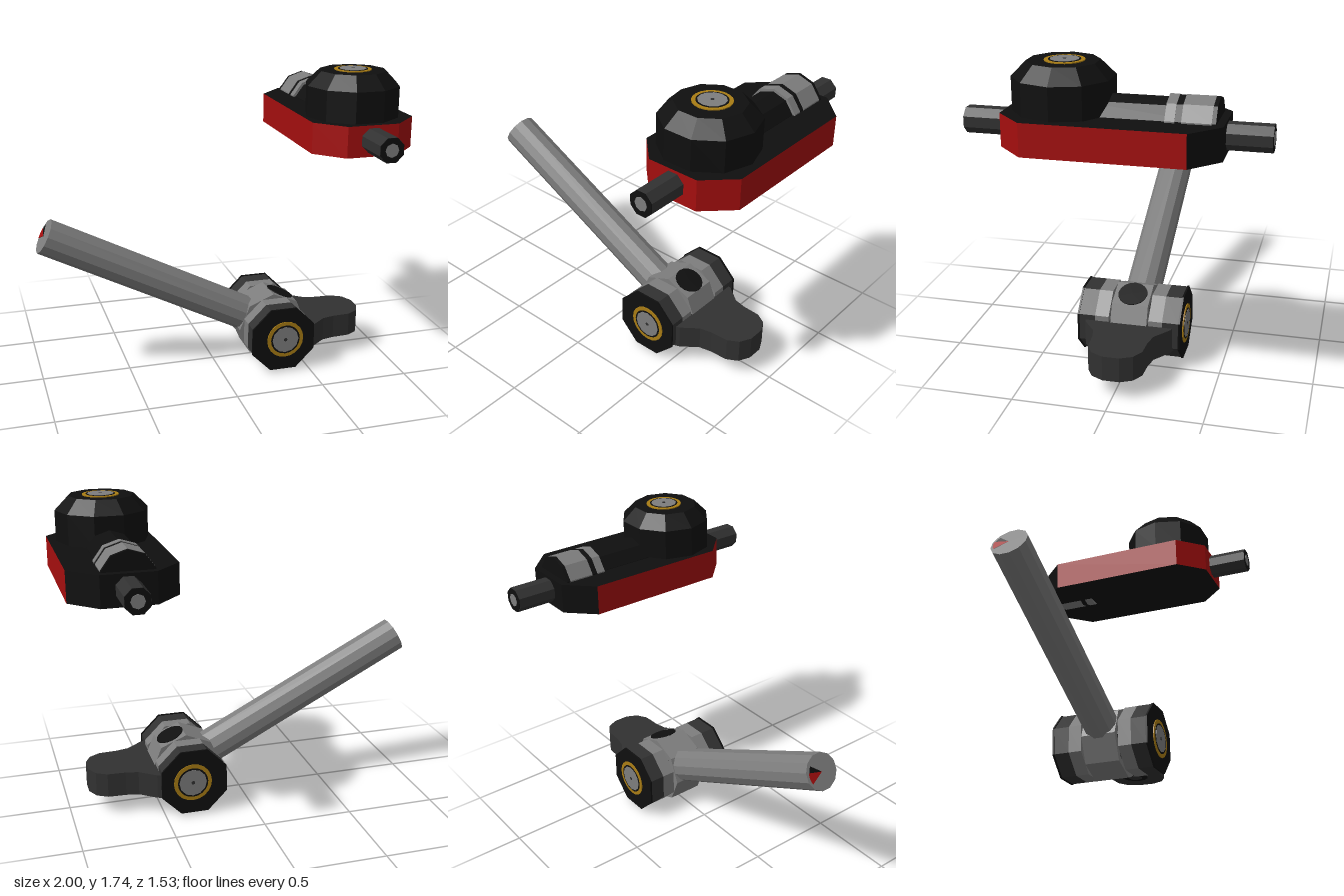
import * as THREE from 'three';

const mat = (name, color) => {
  const m = new THREE.MeshStandardMaterial({ color, flatShading: true });
  m.name = name;
  return m;
};

export function createModel() {
  const black = mat('black', 0x0f0f0f);
  const dark = mat('darkGrey', 0x313131);
  const grey = mat('grey', 0x7d7d7d);
  const red = mat('red', 0xa40e0e);
  const gold = mat('gold', 0xa87c14);
  const root = new THREE.Group();
  const X = new THREE.Vector3(1, 0, 0), Y = new THREE.Vector3(0, 1, 0), Z = new THREE.Vector3(0, 0, 1);

  const add = (parent, name, geo, material) => {
    const mesh = new THREE.Mesh(geo, material);
    mesh.name = name;
    parent.add(mesh);
    return mesh;
  };
  const group = (name) => {
    const g = new THREE.Group();
    g.name = name;
    root.add(g);
    return g;
  };
  // prism centred at pos with its axis along dir
  const prism = (parent, name, material, pos, dir, r, len, sides = 8, phase = 0, rTop = r) => {
    const geo = new THREE.CylinderGeometry(rTop, r, len, sides).rotateY(phase);
    const mesh = add(parent, name, geo, material);
    mesh.quaternion.setFromUnitVectors(Y, dir);
    mesh.position.set(...pos);
    return mesh;
  };
  // outline given as [x, z], raised from y0 to y1
  const slab = (parent, name, points, y0, y1, material) => {
    const shape = new THREE.Shape(points.map(([x, z]) => new THREE.Vector2(x, -z)));
    const geo = new THREE.ExtrudeGeometry(shape, { depth: y1 - y0, bevelEnabled: false });
    geo.rotateX(-Math.PI / 2).translate(0, y0, 0);
    return add(parent, name, geo, material);
  };
  // gold ring with a grey button and a dark centre
  const button = (parent, pos, dir, r) => {
    const at = (d) => new THREE.Vector3(...pos).addScaledVector(dir, d).toArray();
    prism(parent, 'goldRing', gold, at(0.002), dir, r, 0.006, 20);
    prism(parent, 'ringGap', black, at(0.003), dir, r * 0.8, 0.007, 20);
    prism(parent, 'buttonFace', grey, at(0.004), dir, r * 0.72, 0.008, 12);
    prism(parent, 'buttonDot', dark, at(0.005), dir, r * 0.1, 0.008, 8);
  };

  // ---- upper housing ----
  const housing = group('housing');
  const cx = 0.714;
  slab(housing, 'housingBody', [[0.43, -0.4], [0.43, 0.4], [0.57, 0.543], [0.855, 0.543], [1, 0.4], [1, -0.4]],
    1.32, 1.488, [black, red]);
  slab(housing, 'housingBackEnd', [[0.43, -0.4], [1, -0.4], [0.855, -0.543], [0.57, -0.543]],
    1.32, 1.488, black);

  // domed drum
  const dome = new THREE.LatheGeometry(
    [[0.255, 1.48], [0.255, 1.655], [0.18, 1.73], [0, 1.73]].map((p) => new THREE.Vector2(...p)), 10);
  dome.rotateY(Math.PI / 2).translate(0.705, 0, 0.262);
  add(housing, 'dome', dome, black);
  button(housing, [0.708, 1.73, 0.255], Y, 0.1);

  // rounded ridge with grey bands
  const ridge = (name, material, z0, z1, r) =>
    prism(housing, name, material, [0.705, 1.45, (z0 + z1) / 2], Z, r, z1 - z0, 10, 0);
  ridge('ridge', black, -0.5, 0.2, 0.13);
  ridge('ridgeWideBand', grey, -0.485, -0.342, 0.145);
  ridge('ridgeGap', black, -0.342, -0.31, 0.142);
  ridge('ridgeNarrowBand', grey, -0.31, -0.262, 0.145);
  ridge('ridgeEnd', black, -0.505, -0.485, 0.144);

  // stub pipes at both ends
  for (const s of [1, -1]) {
    prism(housing, 'stubPipe', dark, [cx, 1.408, s * 0.645], Z, 0.07, 0.235, 8, Math.PI / 8);
    prism(housing, 'stubRim', black, [cx, 1.408, s * 0.762], Z, 0.069, 0.006, 8, Math.PI / 8);
    prism(housing, 'stubBore', grey, [cx, 1.408, s * 0.764], Z, 0.037, 0.006, 8);
  }

  // ---- hinge hub ----
  const hub = group('hub');
  const hx = 0.34, hy = 0.205;
  prism(hub, 'hubCore', black, [hx, hy, 0], Z, 0.165, 0.5, 8);
  prism(hub, 'hubCentreRing', grey, [hx, hy, 0], Z, 0.203, 0.2, 8);
  const tilt = THREE.MathUtils.degToRad(67.5);
  const facet = new THREE.Vector3(Math.cos(tilt), Math.sin(tilt), 0);
  prism(hub, 'hubHole', black, [hx + facet.x * 0.189, hy + facet.y * 0.189, 0], facet, 0.08, 0.006, 16);
  for (const s of [1, -1]) {
    prism(hub, 'hubInnerRing', grey, [hx, hy, s * 0.148], Z, 0.195, 0.076, 8, Math.PI / 8);
    prism(hub, 'hubOuterRing', dark, [hx, hy, s * 0.23], Z, 0.195, 0.088, 8, Math.PI / 8);
    prism(hub, 'hubFacePlate', black, [hx, hy, s * 0.279], Z, 0.2, 0.01, 8, Math.PI / 8);
    button(hub, [hx + 0.01, hy, s * 0.284], Z.clone().multiplyScalar(s), 0.108);
  }

  // ---- long handle bar ----
  const arm = group('handle');
  const tip = new THREE.Vector3(-0.953, 0.857, 0);
  const start = new THREE.Vector3(hx, hy - 0.01, 0);
  const out = tip.clone().sub(start).normalize();
  start.addScaledVector(out, 0.1);
  const mid = tip.clone().add(start).multiplyScalar(0.5);
  prism(arm, 'handleBar', grey, mid.toArray(), out, 0.1, tip.distanceTo(start), 12, Math.PI / 12);
  // painted wedges on the handle end
  const wedge = (name, material, r, from, sweep, lift) => {
    const m = add(arm, name, new THREE.CircleGeometry(r, 6, from, sweep), material);
    m.position.copy(tip).addScaledVector(out, lift);
    const side = new THREE.Vector3(0, 0, -1);
    m.quaternion.setFromRotationMatrix(
      new THREE.Matrix4().makeBasis(side, out.clone().cross(side), out));
  };
  wedge('handleMarkBlack', black, 0.08, -0.7, 1.2, 0.002);
  wedge('handleMarkRed', red, 0.085, -0.25, 0.75, 0.004);

  // ---- thumb lever ----
  const lever = group('lever');
  const half = [[0.36, 0.262], [0.46, 0.262], [0.54, 0.235], [0.63, 0.165], [0.7, 0.15],
    [0.8, 0.145], [0.86, 0.11], [0.892, 0.045]];
  const outline = [...half, ...half.slice().reverse().map(([x, z]) => [x, -z])];
  slab(lever, 'leverBlade', outline, 0.113, 0.25, dark);
  prism(lever, 'leverScrewRing', black, [0.71, 0.111, 0], Y, 0.07, 0.008, 12);
  prism(lever, 'leverScrew', dark, [0.71, 0.109, 0], Y, 0.04, 0.008, 8);

  return root;
}
